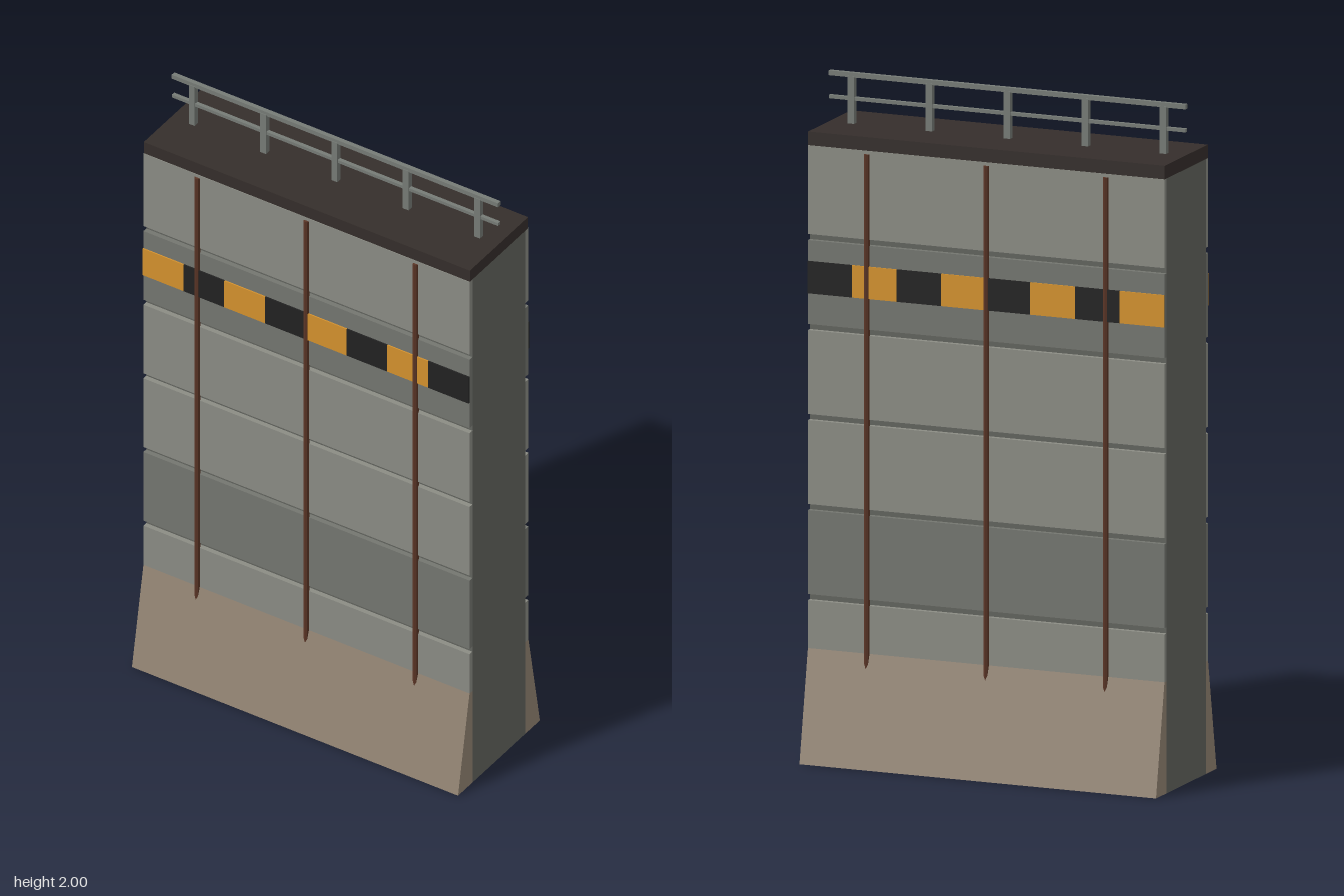
import * as THREE from 'three';

const WIDTH = 1.12;
const mat = (color) => new THREE.MeshStandardMaterial({ color, flatShading: true });

export function createModel() {
  const wall = new THREE.Group();
  wall.name = 'barrierWall';

  const lightConcrete = mat(0x8b8c84);
  const darkConcrete = mat(0x747670);
  const core = mat(0x62645e);
  const dirt = mat(0x938473);
  const capDark = mat(0x352e2b);
  const rust = mat(0x5a3526);
  const amber = mat(0xd4922e);
  const black = mat(0x222222);
  const steel = mat(0x767b76);

  const add = (parent, name, geometry, material, x, y, z) => {
    const mesh = new THREE.Mesh(geometry, material);
    mesh.name = name;
    mesh.position.set(x, y, z);
    parent.add(mesh);
    return mesh;
  };
  // Box given by its lower and upper height
  const box = (parent, name, material, w, y0, y1, d, x = 0, z = 0) =>
    add(parent, name, new THREE.BoxGeometry(w, y1 - y0, d), material, x, (y0 + y1) / 2, z);

  box(wall, 'core', core, WIDTH, 0, 1.81, 0.28);
  box(wall, 'cap', capDark, WIDTH, 1.81, 1.85, 0.306);

  // Sloped footing section, extruded along the wall
  const footShape = new THREE.Shape([
    [0.14, 0], [0.215, 0], [0.155, 0.33], [0.14, 0.33],
  ].map(([z, y]) => new THREE.Vector2(z, y)));
  const footGeometry = new THREE.ExtrudeGeometry(footShape, { depth: WIDTH, bevelEnabled: false });
  footGeometry.translate(0, 0, -WIDTH / 2);
  footGeometry.rotateY(-Math.PI / 2);

  // Same dressing on both faces; stripe order is kept along x
  for (const side of [1, -1]) {
    const face = new THREE.Group();
    face.name = side > 0 ? 'frontFace' : 'backFace';
    wall.add(face);

    const foot = add(face, 'footing', footGeometry, dirt, 0, 0, 0);
    foot.rotation.y = side > 0 ? 0 : Math.PI;

    // Slabs separated by recessed grooves
    const grooves = [0.48, 0.745, 1.01, 1.275, 1.54];
    const slabs = [lightConcrete, darkConcrete, lightConcrete, lightConcrete, darkConcrete, lightConcrete];
    slabs.forEach((material, i) => {
      const y0 = i === 0 ? 0.33 : grooves[i - 1] + 0.009;
      const y1 = i === grooves.length ? 1.81 : grooves[i] - 0.009;
      box(face, 'slab', material, WIDTH, y0, y1, 0.015, 0, side * 0.1475);
    });

    // Warning stripe
    for (let i = 0; i < 8; i++) {
      const x = -WIDTH / 2 + 0.14 * (i + 0.5);
      box(face, 'warningBlock', i % 2 ? black : amber, 0.14, 1.375, 1.47, 0.006, x, side * 0.156);
    }

    // Vertical rusty rods
    for (const x of [-0.375, 0, 0.375]) {
      add(face, 'rod', new THREE.CylinderGeometry(0.009, 0.009, 1.515, 8), rust, x, 1.0425, side * 0.154);
    }
  }

  // Railing along the top
  const railing = new THREE.Group();
  railing.name = 'railing';
  wall.add(railing);
  for (let i = -2; i <= 2; i++) box(railing, 'railPost', steel, 0.02, 1.85, 1.99, 0.018, i * 0.245);
  box(railing, 'topRail', steel, WIDTH, 1.986, 2, 0.014);
  box(railing, 'middleRail', steel, WIDTH, 1.918, 1.928, 0.012);

  return wall;
}
